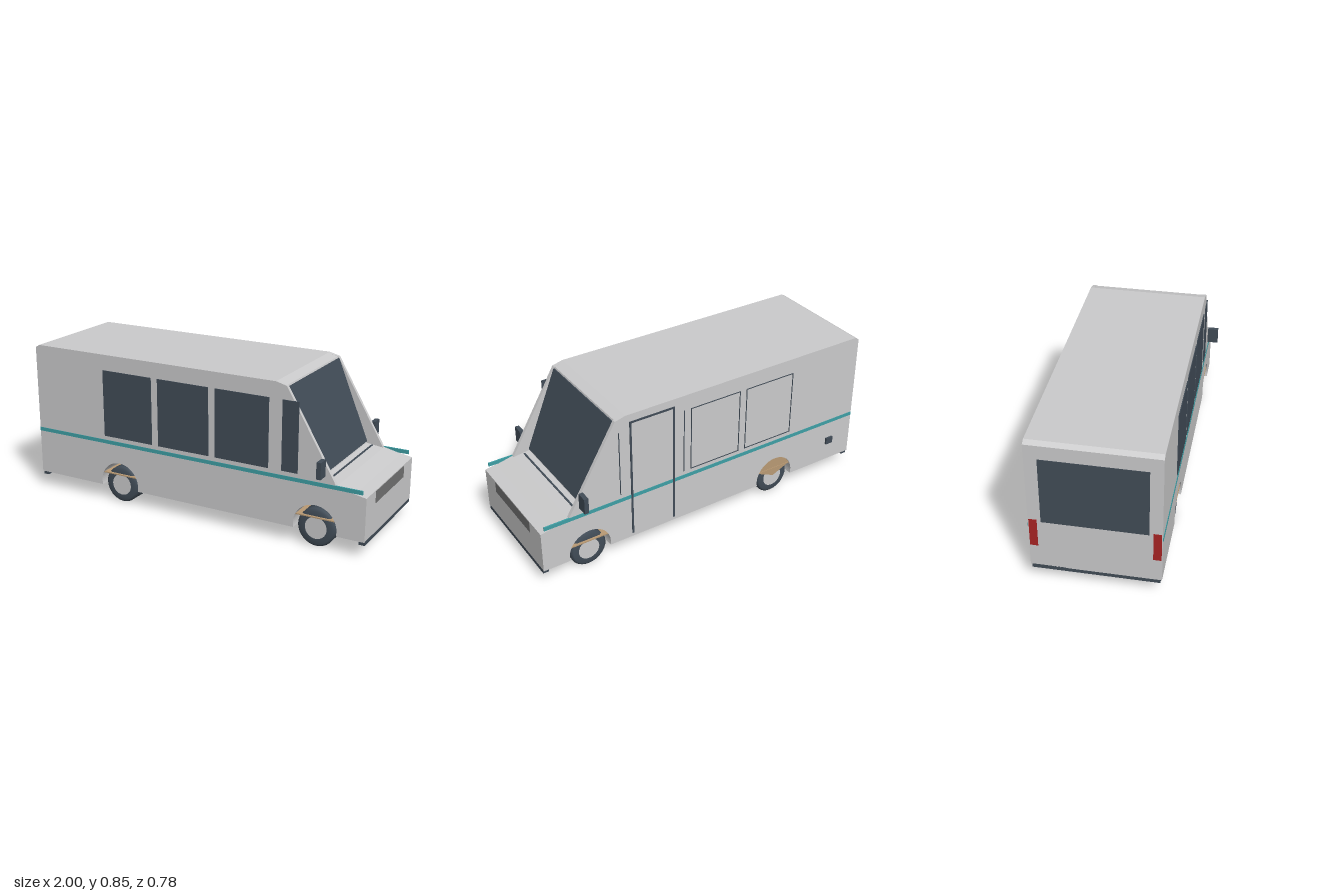
import * as THREE from 'three';

const material = (name, color) => {
  const m = new THREE.MeshStandardMaterial({ color });
  m.name = name;
  return m;
};

export function createModel() {
  const van = new THREE.Group();
  van.name = 'deliveryVan';
  const paint = material('bodyGrey', 0xcacacb);
  const dark = material('darkSlate', 0x414c57);
  const grey = material('midGrey', 0x727272);
  const teal = material('teal', 0x3f9fa5);
  const red = material('tailRed', 0xa82424);
  const tan = material('tan', 0xb99a74);

  const AXLES = { rear: -0.455, front: 0.73 };
  const ARCH_R = 0.12, ARCH_Y = 0.115, FLOOR = 0.09;

  const add = (name, geometry, mat, x = 0, y = 0, z = 0) => {
    const mesh = new THREE.Mesh(geometry, mat);
    mesh.name = name;
    mesh.position.set(x, y, z);
    van.add(mesh);
    return mesh;
  };
  // Box given by its limits on each axis
  const box = (name, mat, [x0, x1], [y0, y1], [z0, z1]) =>
    add(name, new THREE.BoxGeometry(x1 - x0, y1 - y0, z1 - z0), mat,
      (x0 + x1) / 2, (y0 + y1) / 2, (z0 + z1) / 2);

  // Side outline with wheel arches; the nose points to +x
  const slab = (name, nose, z0, z1) => {
    const s = new THREE.Shape();
    const d = Math.asin((ARCH_Y - FLOOR) / ARCH_R);
    s.moveTo(-1, FLOOR);
    for (const x of [AXLES.rear, AXLES.front]) {
      s.lineTo(x - ARCH_R * Math.cos(d), FLOOR);
      s.absarc(x, ARCH_Y, ARCH_R, Math.PI + d, -d, true);
    }
    const rest = [[1, FLOOR], [1, 0.325], [0.94, 0.336], [0.84, 0.358], ...nose,
      [0.5, 0.847], [-0.975, 0.847], [-1, 0.832]];
    rest.forEach(([x, y]) => s.lineTo(x, y));
    const g = new THREE.ExtrudeGeometry(s, { depth: z1 - z0, bevelEnabled: false, curveSegments: 20 });
    add(name, g, paint, 0, 0, z0);
  };

  // Core has a recessed windscreen; the side walls run further forward
  slab('bodyCore', [[0.745, 0.37], [0.555, 0.832]], -0.31, 0.31);
  slab('leftWall', [[0.56, 0.832]], -0.33, -0.31);
  slab('rightWall', [[0.56, 0.832]], 0.31, 0.33);

  // Windscreen and bonnet gap
  const screen = add('windscreen', new THREE.BoxGeometry(0.008, 0.482, 0.616), dark, 0.653, 0.602, 0);
  screen.rotation.z = Math.atan2(0.19, 0.462);
  box('bonnetGap', dark, [0.775, 0.785], [0.355, 0.368], [-0.3, 0.3]);

  // Windows: glazed on one side, thin outlines on the other
  const frame = (name, [x0, x1], [y0, y1], t, withSill) => {
    const z = [-0.333, -0.329];
    box(name + 'RearEdge', dark, [x0, x0 + t], [y0, y1], z);
    box(name + 'FrontEdge', dark, [x1 - t, x1], [y0, y1], z);
    box(name + 'TopEdge', dark, [x0, x1], [y1 - t, y1], z);
    if (withSill) box(name + 'Sill', dark, [x0, x1], [y0, y0 + t], z);
  };
  const windows = [[-0.545, -0.235], [-0.195, 0.115], [0.155, 0.465], [0.54, 0.63]];
  windows.forEach((span, i) => {
    box('sideWindow' + i, dark, span, [0.385, 0.76], [0.327, 0.334]);
    if (i < 2) frame('windowOutline' + i, span, [0.385, 0.76], 0.004, true);
  });
  box('windowOutline2RearEdge', dark, [0.155, 0.159], [0.385, 0.76], [-0.333, -0.329]);
  box('windowOutline3RearEdge', dark, [0.54, 0.544], [0.385, 0.76], [-0.333, -0.329]);
  frame('doorOutline', [0.215, 0.48], [0.11, 0.805], 0.011, false);

  // Nose and tail details
  box('grille', grey, [0.996, 1.001], [0.255, 0.32], [-0.203, 0.203]);
  box('rearWindow', dark, [-1.002, -0.996], [0.375, 0.755], [-0.265, 0.265]);
  box('frontBumper', dark, [0.967, 1], [0.07, 0.093], [-0.322, 0.322]);
  box('rearBumper', dark, [-1, -0.967], [0.07, 0.093], [-0.322, 0.322]);
  box('fuelCap', dark, [-0.868, -0.822], [0.2, 0.24], [-0.341, -0.329]);
  box('underTank', grey, [-0.22, -0.015], [0.02, 0.09], [-0.102, 0.102]);

  // Mirrored side details
  for (const s of [1, -1]) {
    const side = s > 0 ? 'right' : 'left';
    const span = (a, b) => (s > 0 ? [a, b] : [-b, -a]);
    box(side + 'Stripe', teal, [-0.999, 0.98], [0.34, 0.361], span(0.325, 0.3325));
    box(side + 'Mirror', dark, [0.757, 0.781], [0.4, 0.489], span(0.332, 0.392));
    box(side + 'TailLight', red, [-1.002, -0.996], [0.22, 0.385], span(0.285, 0.326));
  }

  // Twin wheels, axles, springs and arch panels
  const tyreProfile = [[0.06, -0.031], [0.09, -0.031], [0.103, -0.02], [0.103, 0.02],
    [0.09, 0.031], [0.06, 0.031]].map(([r, y]) => new THREE.Vector2(r, y));
  const tyre = new THREE.LatheGeometry(tyreProfile, 32).rotateX(Math.PI / 2);
  const hub = new THREE.CylinderGeometry(0.061, 0.061, 0.056, 32).rotateX(Math.PI / 2);
  const axle = new THREE.CylinderGeometry(0.013, 0.013, 0.44, 12).rotateX(Math.PI / 2);
  for (const [name, x] of Object.entries(AXLES)) {
    for (const z of [-0.282, -0.21, 0.21, 0.282]) {
      add(name + 'Tyre', tyre, dark, x, 0.104, z);
      add(name + 'Hub', hub, paint, x, 0.104, z);
    }
    add(name + 'Axle', axle, dark, x, 0.104, 0);
    for (const z of [-0.13, 0.13])
      box(name + 'Spring', dark, [x - 0.122, x + 0.122], [0.108, 0.122], [z - 0.015, z + 0.015]);
    box(name + 'ArchPanel', tan, [x - 0.119, x + 0.119], [0.162, 0.168], [-0.325, 0.325]);
  }
  const archCap = add('rearArchCap', new THREE.CircleGeometry(0.12, 24, 0.42, Math.PI - 0.84), tan,
    AXLES.rear, ARCH_Y, -0.322);
  archCap.rotation.y = Math.PI;

  return van;
}
